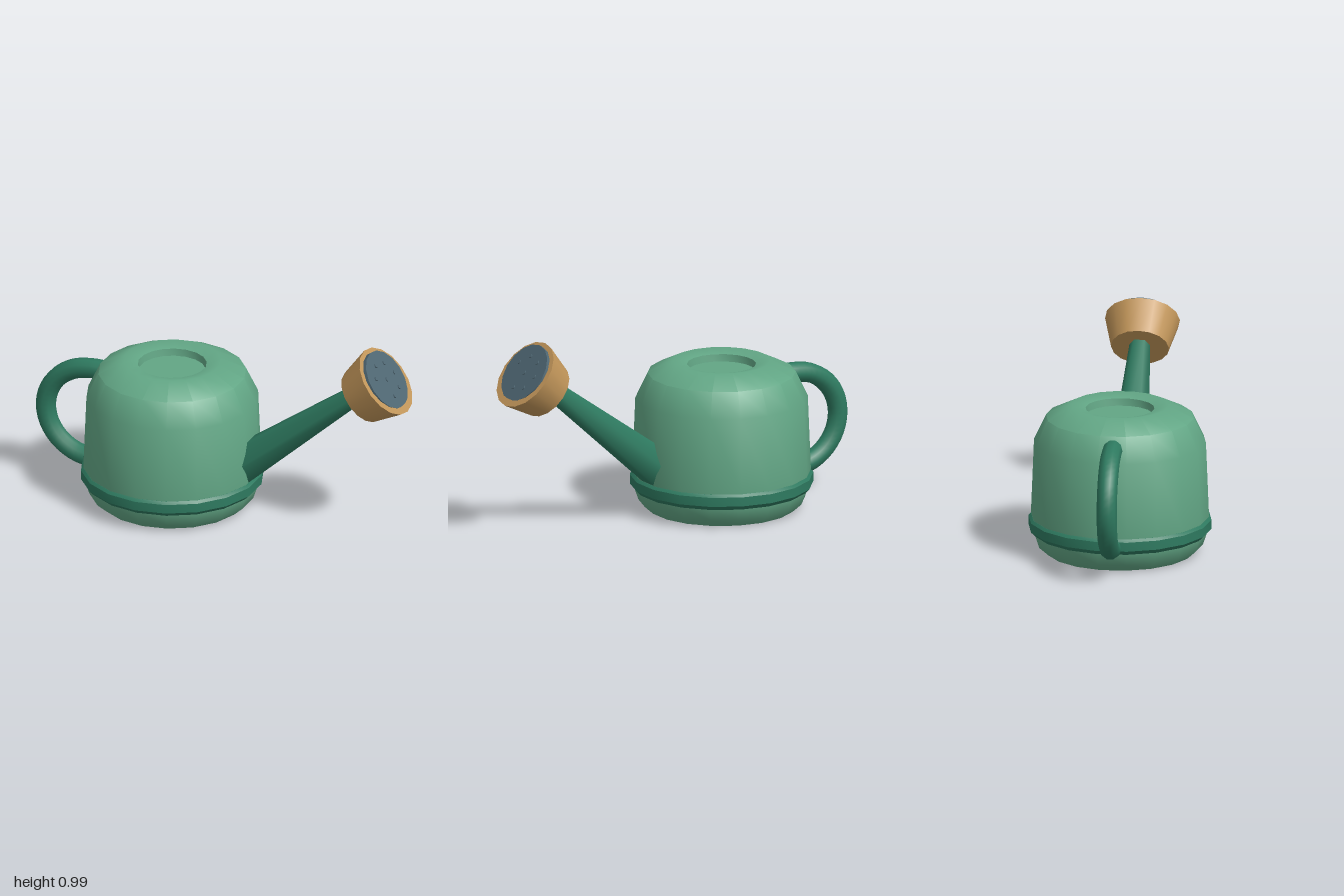
import * as THREE from 'three';
import { toCreasedNormals } from 'three/addons/utils/BufferGeometryUtils.js';

const BODY_X = -0.27;

function material(name, color) {
  const m = new THREE.MeshStandardMaterial({ color });
  m.name = name;
  return m;
}

export function createModel() {
  const lightGreen = material('light green', 0x62a685);
  const darkGreen = material('dark green', 0x2e7a60);
  const brass = material('brass', 0xc2965a);
  const slate = material('slate blue', 0x4f6773);

  const model = new THREE.Group();
  model.name = 'wateringCan';

  function add(name, geometry, mat, parent = model) {
    const mesh = new THREE.Mesh(geometry, mat);
    mesh.name = name;
    parent.add(mesh);
    return mesh;
  }

  // Turned part on the can's axis, from [radius, height] pairs
  function turned(name, profile, mat) {
    const points = profile.map(([r, y]) => new THREE.Vector2(r, y));
    const geometry = toCreasedNormals(new THREE.LatheGeometry(points, 18), 0.7);
    add(name, geometry, mat).position.x = BODY_X;
  }

  // Group whose local +y points along the given tilt above +x
  function tilted(name, x, y, degrees) {
    const group = new THREE.Group();
    group.name = name;
    group.position.set(x, y, 0);
    group.rotation.z = THREE.MathUtils.degToRad(degrees) - Math.PI / 2;
    model.add(group);
    return group;
  }

  // Body with rounded shoulder and sunken filling hole
  turned('body', [
    [0, 0], [0.365, 0], [0.41, 0.04], [0.43, 0.1], [0.44, 0.19], [0.425, 0.56],
    [0.365, 0.685], [0.24, 0.745], [0.17, 0.728], [0.165, 0.692], [0, 0.692],
  ], lightGreen);

  // Band around the base
  turned('baseBand', [
    [0.42, 0.1], [0.43, 0.1], [0.452, 0.122], [0.452, 0.168], [0.44, 0.181], [0.42, 0.181],
  ], darkGreen);

  // Handle: half an ellipse with short straight ends, capped
  const path = [[-0.64, 0.62]];
  for (let i = 0; i <= 8; i++) {
    const a = Math.PI / 2 + (i / 8) * Math.PI;
    path.push([-0.69 + 0.26 * Math.cos(a), 0.377 + 0.243 * Math.sin(a)]);
  }
  path.push([-0.65, 0.134]);
  const curve = new THREE.CatmullRomCurve3(path.map(([x, y]) => new THREE.Vector3(x, y, 0)));
  add('handle', new THREE.TubeGeometry(curve, 28, 0.05, 10), darkGreen);
  for (const [x, y] of [path[0], path[path.length - 1]]) {
    const cap = add('handleEnd', new THREE.CircleGeometry(0.05, 10), darkGreen);
    cap.position.set(x, y, 0);
    cap.rotation.y = Math.PI / 2;
  }

  // Tapered six-sided spout, its lower end buried in the body
  const spout = tilted('spout', 0.16, 0.297, 38.7);
  const tube = add('spoutTube', new THREE.CylinderGeometry(0.05, 0.11, 0.91, 6), darkGreen, spout);
  tube.position.y = 0.305;

  // Flared sprinkler head
  const head = tilted('sprinklerHead', 0.88, 0.85, 39.4);
  const flare = add('headFlare', new THREE.CylinderGeometry(0.185, 0.143, 0.168, 16), brass, head);
  flare.position.y = -0.084;

  // Slightly tilted face plate with sprinkler holes
  const face = tilted('sprinklerFace', 0.885, 0.86, 35.5);
  const plate = add('facePlate', new THREE.CylinderGeometry(0.155, 0.155, 0.03, 16), slate, face);
  plate.position.y = -0.015;
  const holes = [[0, 0]];
  for (const i of [0, 1, 2, 3, 5, 6]) {
    const a = (i / 7) * Math.PI * 2;
    holes.push([-0.09 * Math.sin(a), -0.09 * Math.cos(a)]);
  }
  for (const [x, z] of holes) {
    const hole = add('sprinklerHole', new THREE.CylinderGeometry(0.011, 0.011, 0.006, 8), slate, face);
    hole.position.set(x, 0.002, z);
  }

  return model;
}
